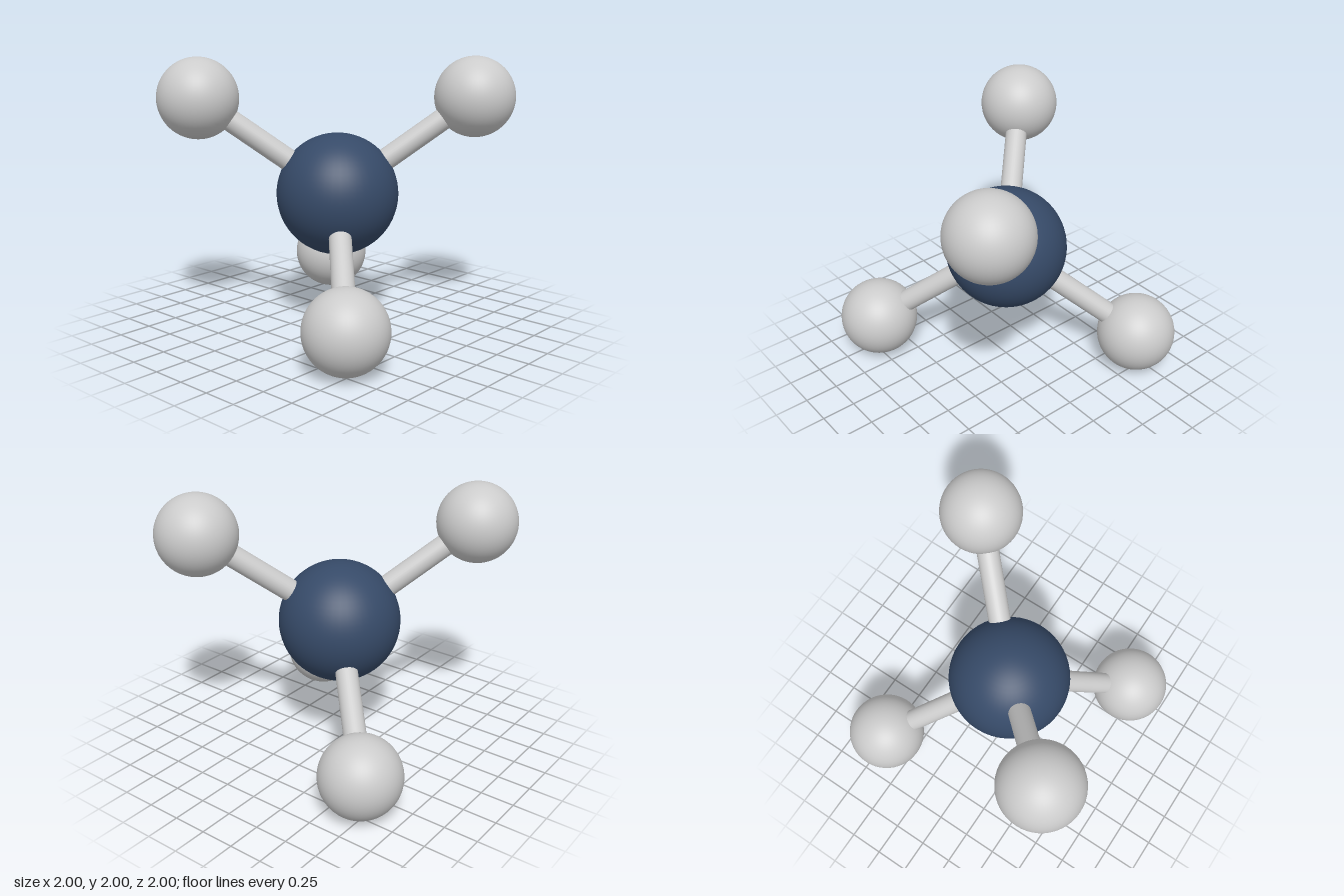
import * as THREE from 'three';

const CENTRE = new THREE.Vector3(0, 1, 0);
const CORE_RADIUS = 0.447;
const BALL_RADIUS = 0.294;
const ROD_RADIUS = 0.081;
const OFFSET = 0.706;

// Alternate corners of a cube: the four tetrahedral directions
const CORNERS = [[-1, 1, 1], [1, -1, 1], [1, 1, -1], [-1, -1, -1]];

export function createModel() {
  const model = new THREE.Group();
  model.name = 'tetrahedralMolecule';

  const grey = new THREE.MeshStandardMaterial({ color: 0xcccccc });
  const blue = new THREE.MeshStandardMaterial({ color: 0x364a68 });

  // Central atom
  const core = new THREE.Mesh(new THREE.SphereGeometry(CORE_RADIUS, 48, 32), blue);
  core.name = 'centralAtom';
  core.position.copy(CENTRE);
  model.add(core);

  // Outer atoms, each joined to the centre by a rod
  const ballGeometry = new THREE.SphereGeometry(BALL_RADIUS, 48, 32);
  const length = OFFSET * Math.sqrt(3);
  const rodGeometry = new THREE.CylinderGeometry(ROD_RADIUS, ROD_RADIUS, length, 32);
  const up = new THREE.Vector3(0, 1, 0);

  CORNERS.forEach((corner, i) => {
    const arm = new THREE.Group();
    arm.name = `arm${i + 1}`;
    arm.position.copy(CENTRE);
    const reach = new THREE.Vector3(...corner).multiplyScalar(OFFSET);

    const ball = new THREE.Mesh(ballGeometry, grey);
    ball.name = 'outerAtom';
    ball.position.copy(reach);

    const rod = new THREE.Mesh(rodGeometry, grey);
    rod.name = 'bond';
    rod.position.copy(reach).multiplyScalar(0.5);
    rod.quaternion.setFromUnitVectors(up, reach.clone().normalize());

    arm.add(ball, rod);
    model.add(arm);
  });

  return model;
}
